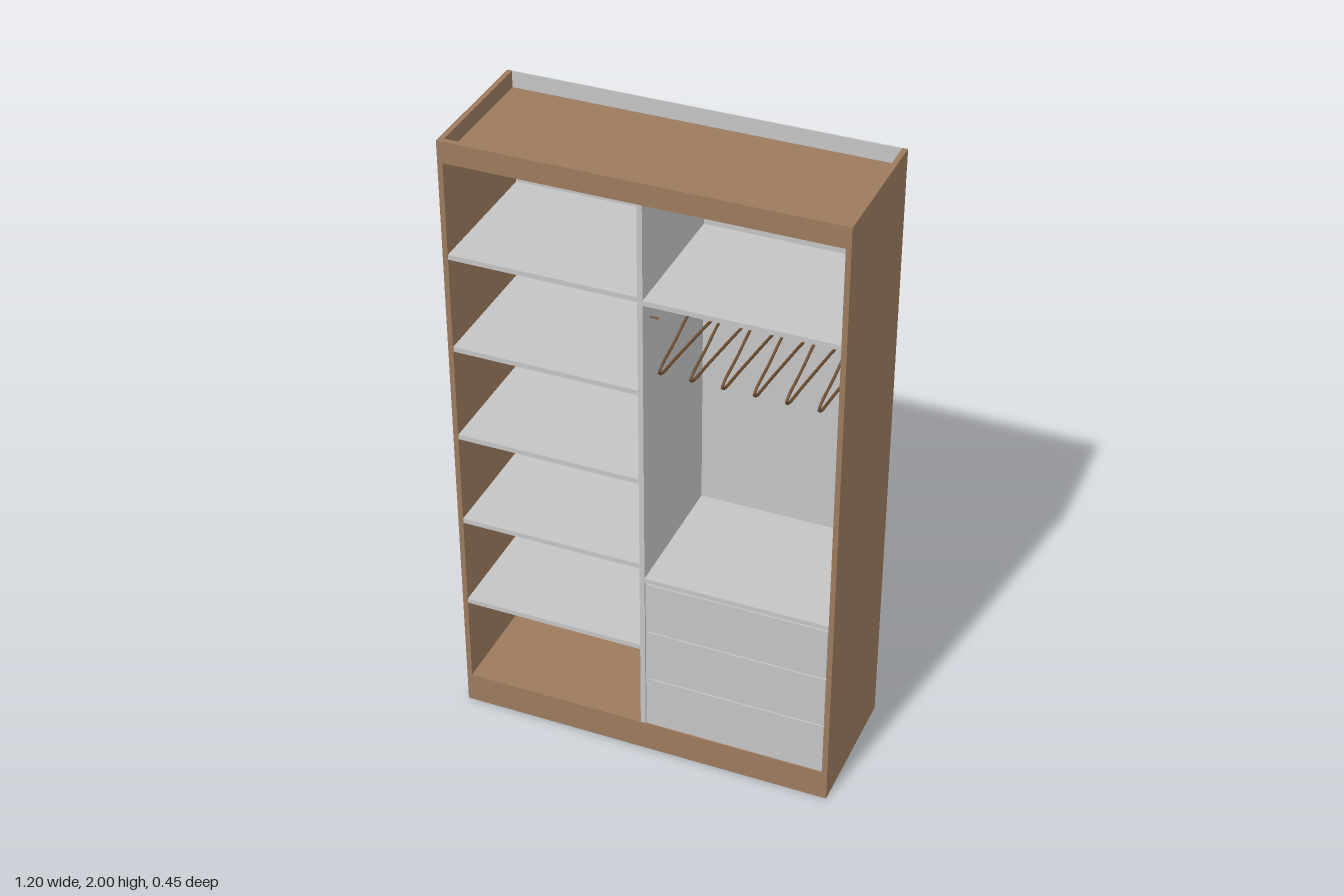
import * as THREE from 'three';

const wood = new THREE.MeshStandardMaterial({ color: 0x9b7b5e });
wood.name = 'brown wood';
const grey = new THREE.MeshStandardMaterial({ color: 0xc4c4c4 });
grey.name = 'light grey board';
const dark = new THREE.MeshStandardMaterial({ color: 0x6b4c2e });
dark.name = 'dark hanger wood';

// Box given by its extents on each axis
function board(name, [x0, x1], [y0, y1], [z0, z1], material) {
  const mesh = new THREE.Mesh(new THREE.BoxGeometry(x1 - x0, y1 - y0, z1 - z0), material);
  mesh.position.set((x0 + x1) / 2, (y0 + y1) / 2, (z0 + z1) / 2);
  mesh.name = name;
  return mesh;
}

// Rod running along x
function rodX(name, x0, x1, y, z, radius, material) {
  const mesh = new THREE.Mesh(new THREE.CylinderGeometry(radius, radius, x1 - x0, 20), material);
  mesh.rotation.z = Math.PI / 2;
  mesh.position.set((x0 + x1) / 2, y, z);
  mesh.name = name;
  return mesh;
}

// Coat hanger drawn in the yz plane, origin at the centre of the rod
function makeHanger() {
  const hanger = new THREE.Group();
  const v = (z, y) => new THREE.Vector3(0, y, z);

  // Shoulders, rounded ends and lower bar as one closed loop
  const loop = new THREE.CatmullRomCurve3([
    v(0, -0.07), v(0.03, -0.08), v(0.1, -0.117), v(0.175, -0.15), v(0.19, -0.165), v(0.175, -0.175),
    v(0.08, -0.175), v(-0.08, -0.175),
    v(-0.175, -0.175), v(-0.19, -0.165), v(-0.175, -0.15), v(-0.1, -0.117), v(-0.03, -0.08),
  ], true, 'centripetal');
  const frame = new THREE.Mesh(new THREE.TubeGeometry(loop, 72, 0.0045, 8, true), dark);
  frame.name = 'hangerFrame';

  // Hook over the rod
  const points = [v(0, -0.07), v(0, -0.04), v(0.006, -0.026)];
  for (let i = 0; i <= 7; i++) {
    const a = -0.8 + i * 0.55;
    points.push(v(Math.cos(a) * 0.0175, Math.sin(a) * 0.0175));
  }
  const hook = new THREE.Mesh(
    new THREE.TubeGeometry(new THREE.CatmullRomCurve3(points), 40, 0.003, 8), dark);
  hook.name = 'hangerHook';

  hanger.add(frame, hook);
  return hanger;
}

export function createModel() {
  const model = new THREE.Group();
  model.name = 'wardrobe';
  const T = 0.016;
  const inner = 0.6 - T;
  const front = 0.225;
  const back = -0.224;
  const depth = [back, front];

  // Carcass
  for (const s of [-1, 1]) {
    const xs = s > 0 ? [inner, 0.6] : [-0.6, -inner];
    model.add(board(s > 0 ? 'leftSide' : 'rightSide', xs, [0, 2], depth, wood));
  }
  const span = [-inner, inner];
  model.add(
    board('roof', span, [1.933, 1.949], depth, wood),
    board('floor', span, [0.084, 0.1], depth, wood),
    board('topFrontRail', span, [1.933, 2], [front - 0.018, front], wood),
    board('frontPlinth', span, [0, 0.1], [front - T, front], wood),
    board('backPlinth', span, [0, 0.084], [back, back + T], wood),
  );

  // Thin back panels
  model.add(
    board('backPanel', [-0.6, inner], [0.085, 1.933], [-0.225, -0.221], grey),
    board('backTopStrip', [-0.6, 0.6], [1.949, 2], [-0.225, -0.221], grey),
  );

  // Divider and shelves
  const inside = [-0.221, front - 0.001];
  model.add(board('divider', [-0.008, 0.008], [0.1, 1.933], inside, grey));
  for (let i = 0; i < 5; i++) {
    const y = 0.39 + i * 0.3085;
    model.add(board('shelf', [-inner, -0.008], [y, y + T], inside, grey));
  }
  model.add(
    board('hatShelf', [0.008, inner], [1.616, 1.632], inside, grey),
    board('drawerTop', [0.008, inner], [0.649, 0.665], inside, grey),
  );

  // Drawers
  for (let i = 0; i < 3; i++) {
    const y = 0.103 + i * 0.182;
    const drawer = new THREE.Group();
    drawer.name = 'drawer';
    drawer.add(
      board('drawerFront', [0.011, 0.582], [y, y + 0.178], [front - 0.017, front - 0.001], grey),
      board('drawerBox', [0.025, 0.568], [y + 0.01, y + 0.15], [-0.2, front - 0.017], grey),
    );
    model.add(drawer);
  }

  // Hanging rail with its small peg on the divider
  const railY = 1.547;
  model.add(
    rodX('hangingRail', 0.008, inner, railY, 0, 0.0135, wood),
    rodX('peg', 0.008, 0.032, railY + 0.002, 0.17, 0.003, dark),
  );

  // Row of hangers, each turned slightly
  for (let i = 0; i < 6; i++) {
    const hanger = makeHanger();
    hanger.name = 'hanger';
    hanger.position.set(0.058 + i * 0.0948, railY, 0);
    hanger.rotation.y = -0.085;
    model.add(hanger);
  }
  return model;
}
